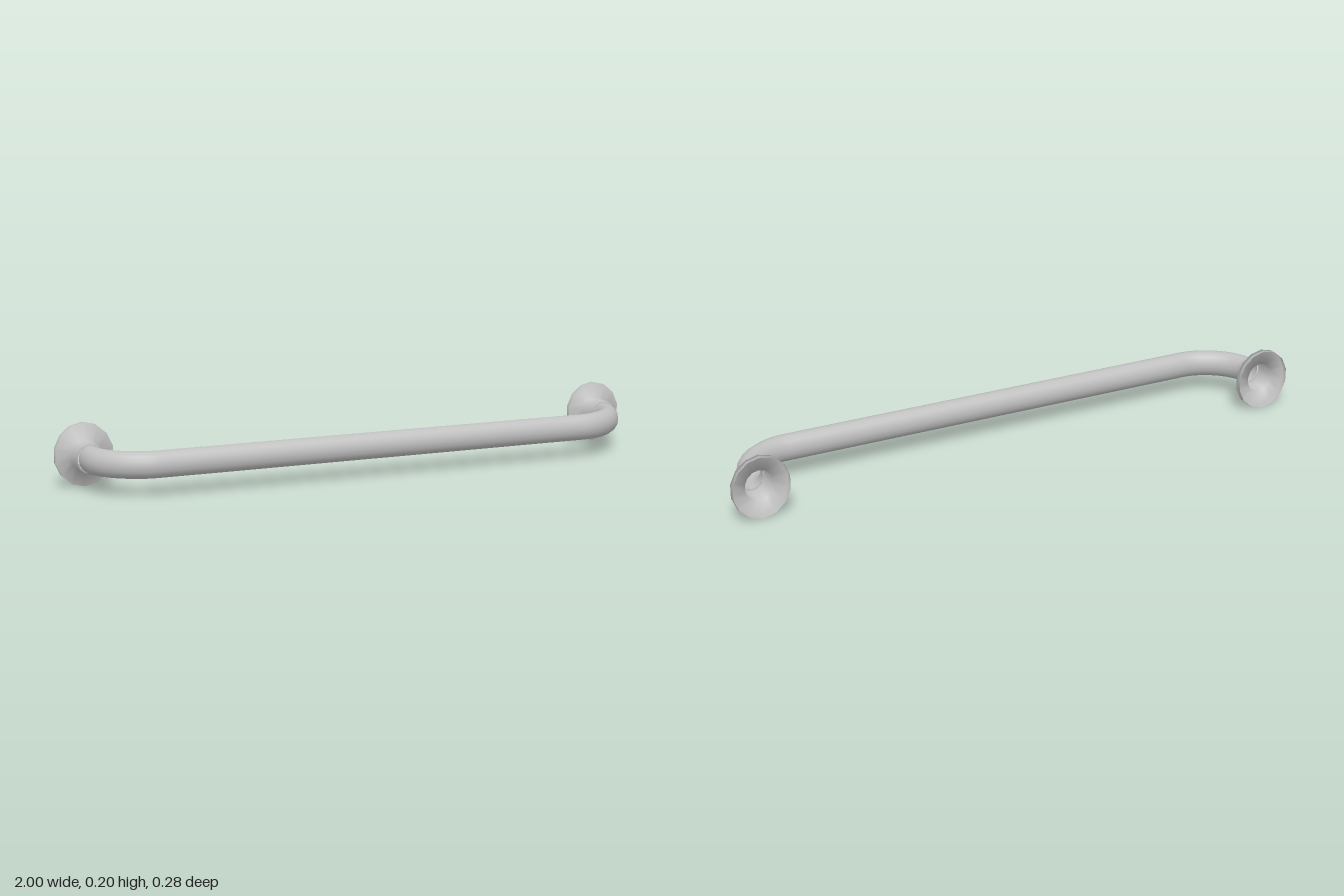
import * as THREE from 'three';

const CENTER_Y = 0.102;  // height of the bar axis
const LEG_X = 0.907;     // sideways position of each mount
const BAR_Z = 0.102;     // depth of the straight grip
const BEND_X = 0.735;    // where the grip starts to bend
const BEND_Z = -0.05;    // where the bend meets the collar
const K = 0.5523;        // quarter-circle handle length

export function createModel() {
  const group = new THREE.Group();
  const metal = new THREE.MeshStandardMaterial({ color: 0xc0c0c0, side: THREE.DoubleSide });
  metal.name = 'satin grey metal';

  const v = (x, z) => new THREE.Vector3(x, 0, z);

  // Quarter bend from one mount (side -1 or 1) to the straight grip
  const bendPoints = (side) => [
    v(side * LEG_X, BEND_Z),
    v(side * LEG_X, BEND_Z + (BAR_Z - BEND_Z) * K),
    v(side * (BEND_X + (LEG_X - BEND_X) * (1 - K)), BAR_Z),
    v(side * BEND_X, BAR_Z),
  ];

  // Grip bar: two bends and a straight run, slightly taller than deep
  const path = new THREE.CurvePath();
  path.add(new THREE.CubicBezierCurve3(...bendPoints(-1)));
  path.add(new THREE.LineCurve3(v(-BEND_X, BAR_Z), v(BEND_X, BAR_Z)));
  path.add(new THREE.CubicBezierCurve3(...bendPoints(1).reverse()));
  const bar = new THREE.Mesh(new THREE.TubeGeometry(path, 120, 0.037, 16), metal);
  bar.name = 'gripBar';
  bar.scale.y = 1.18;
  bar.position.y = CENTER_Y;
  group.add(bar);

  // Wall mounts: hollow flange stepping down to a collar, open at the back
  const profile = [
    [0.102, -0.139], [0.102, -0.118], [0.0505, -0.118], [0.0505, -0.05], [0.042, -0.05],
  ].map(([r, z]) => new THREE.Vector2(r, z));
  const mountGeometry = new THREE.LatheGeometry(profile, 14);
  mountGeometry.rotateX(Math.PI / 2);
  for (const side of [-1, 1]) {
    const mount = new THREE.Mesh(mountGeometry, metal);
    mount.name = side > 0 ? 'leftWallMount' : 'rightWallMount';
    mount.scale.x = 0.93;
    mount.position.set(side * LEG_X, CENTER_Y, 0);
    group.add(mount);
  }
  return group;
}
